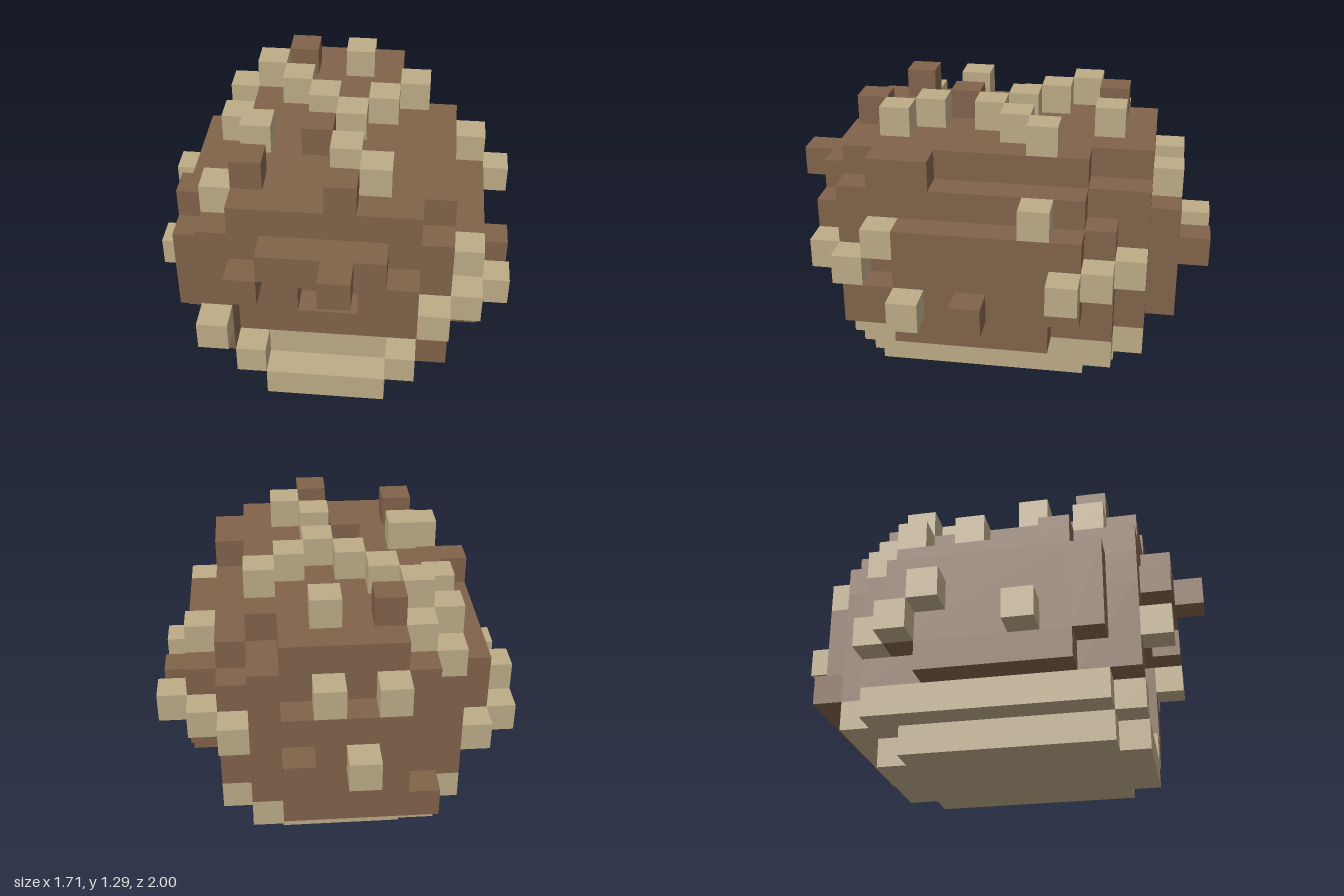
import * as THREE from 'three';

const U = 1 / 7; // edge of one block

export function createModel() {
  const model = new THREE.Group();
  const brown = new THREE.MeshStandardMaterial({ color: 0x81634a });
  brown.name = 'brown';
  const cream = new THREE.MeshStandardMaterial({ color: 0xbdab87 });
  cream.name = 'cream';

  // box between two grid corners, measured in blocks
  function box(parent, name, mat, [x0, x1, y0, y1, z0, z1]) {
    const m = new THREE.Mesh(new THREE.BoxGeometry((x1 - x0) * U, (y1 - y0) * U, (z1 - z0) * U), mat);
    m.position.set((x0 + x1) * U / 2, (y0 + y1) * U / 2, (z0 + z1) * U / 2);
    m.name = name;
    parent.add(m);
  }
  function part(name, mat, boxes) {
    const g = new THREE.Group();
    g.name = name;
    boxes.forEach(b => box(g, name + 'Block', mat, b));
    model.add(g);
  }
  const cubes = list => list.map(([x, y, z]) => [x, x + 1, y, y + 1, z, z + 1]);

  // stepped pale base, open in the middle of the front
  part('base', cream, [
    [-2, 2, 0, 1, -4, 5], [-3, 3, 0, 1, -3, 4],
    [-4, 4, 1, 2, -4, 4], [-3, 3, 1, 2, -5, 4],
    [-3, -2, 1, 2, 4, 5], [2, 3, 1, 2, 4, 5],
  ]);

  // rounded, stepped body
  part('body', brown, [
    [-4, 4, 2, 6, -4, 3], [-3, 3, 2, 6, -5, 3], [-2, 2, 2, 6, -6, 3],
    [-5, 5, 2, 3, -2, 3], [-5, 5, 3, 6, -3, 3],
    [-4, 4, 6, 7, -3, 5], [-3, 3, 6, 7, -5, 4],
    [-3, 3, 7, 8, -3, 5], [-2, 2, 7, 8, -5, 4],
    [-3, -2, 2, 3, -6, -5],
  ]);

  // face panel with a small mouth hollow, framed by cheeks and forehead
  part('face', brown, [
    [-3, 3, 2, 3, 3, 4], [-3, -1, 3, 4, 3, 4], [1, 3, 3, 4, 3, 4], [-3, 3, 4, 5, 3, 4],
    [-4, -3, 2, 5, 3, 5], [3, 4, 2, 5, 3, 5], [-4, 4, 5, 6, 3, 5],
    [-2, 2, 6, 7, 5, 6], [-3, -2, 5, 6, 5, 6], [2, 3, 5, 6, 5, 6],
    [-5, -4, 3, 6, 3, 4], [4, 5, 3, 4, 3, 4], [3, 4, 7, 8, 2, 4],
  ]);

  // single raised blocks scattered over the surface
  part('brownBump', brown, cubes([
    [-3, 8, 3], [0, 8, 4], [-1, 8, 1], [-2, 8, -4], [0, 6, 6],
    [5, 3, 0], [1, 4, -7], [-5, 6, 2],
  ]));
  part('creamBump', cream, cubes([
    [0, 8, 0], [1, 8, -1], [2, 8, -2], [0, 8, 2], [1, 8, 3], [-1, 8, -1],
    [-2, 8, -2], [0, 8, -4], [-3, 8, 1], [-3, 8, -3],
    [-4, 7, 3], [-4, 7, -1], [-4, 7, -3], [-3, 7, -4], [-4, 6, -4],
    [0, 6, -6], [-2, 6, -6], [4, 6, -2], [4, 5, 3],
    [4, 4, 4], [3, 4, 5], [5, 4, -3], [4, 4, -4], [3, 4, -5], [-1, 4, -7], [-6, 4, -2],
    [-4, 3, 5], [5, 3, 2], [-6, 3, 1], [-6, 3, -3], [-5, 3, -4],
  ]));
  return model;
}
